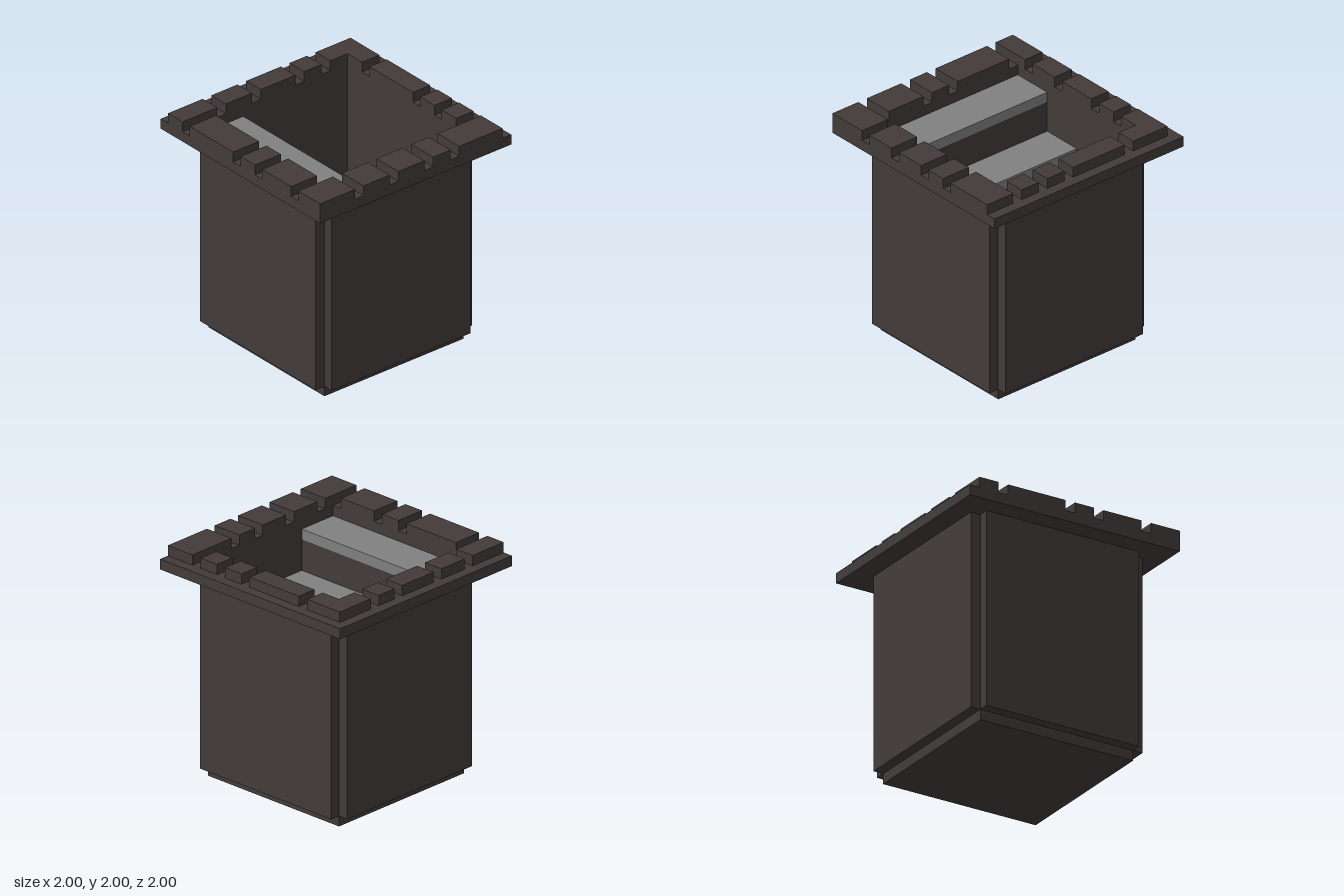
import * as THREE from 'three';

const U = 1 / 11; // one grid unit

export function createModel() {
  const stone = new THREE.MeshStandardMaterial({ color: 0x423b3a });
  stone.name = 'dark stone';
  const grey = new THREE.MeshStandardMaterial({ color: 0x808080 });
  grey.name = 'step grey';

  const model = new THREE.Group();
  model.name = 'stairwellTower';

  // Box from min/max corners given in grid units
  function box(name, mat, [x0, x1], [y0, y1], [z0, z1], parent = model) {
    const geo = new THREE.BoxGeometry((x1 - x0) * U, (y1 - y0) * U, (z1 - z0) * U);
    const mesh = new THREE.Mesh(geo, mat);
    mesh.position.set((x0 + x1) / 2 * U, (y0 + y1) / 2 * U, (z0 + z1) / 2 * U);
    mesh.name = name;
    parent.add(mesh);
  }

  // Floor and the four wall plates, leaving open notches at the corners
  box('floor', stone, [-8, 8], [0, 1], [-8, 8]);
  box('frontWall', stone, [-8, 8], [1, 20], [8, 9]);
  box('backWall', stone, [-8, 8], [1, 20], [-9, -8]);
  box('leftWall', stone, [8, 9], [1, 20], [-8, 8]);
  box('rightWall', stone, [-9, -8], [1, 20], [-8, 8]);

  // Overhanging rim with a square opening
  const square = (r) => [[-r, -r], [r, -r], [r, r], [-r, r]].map(([x, y]) => new THREE.Vector2(x * U, y * U));
  const shape = new THREE.Shape(square(11));
  shape.holes.push(new THREE.Path(square(8).reverse()));
  const rimGeo = new THREE.ExtrudeGeometry(shape, { depth: U, bevelEnabled: false });
  rimGeo.rotateX(-Math.PI / 2);
  const rim = new THREE.Mesh(rimGeo, stone);
  rim.position.y = 20 * U;
  rim.name = 'rim';
  model.add(rim);

  // Uneven blocks on the rim; the left and back rows are set in from the edge
  const blocks = new THREE.Group();
  blocks.name = 'battlements';
  model.add(blocks);
  const top = [21, 22];
  for (const s of [[-11, -7], [-6, -3], [-2, 1], [2, 4], [5, 10]]) box('frontBlock', stone, s, top, [8, 11], blocks);
  for (const s of [[-11, -7], [-6, -3], [-2, 2], [3, 5], [6, 10]]) box('backBlock', stone, s, top, [-10, -8], blocks);
  for (const s of [[-8, -6], [-5, 1], [2, 4], [5, 7]]) box('leftBlock', stone, [8, 10], top, s, blocks);
  for (const s of [[-7, -1], [0, 2], [3, 7]]) box('rightBlock', stone, [-11, -8], top, s, blocks);

  // Stairs descending inside: grey treads on dark risers
  const stairs = new THREE.Group();
  stairs.name = 'stairs';
  model.add(stairs);
  for (let i = 0; i < 4; i++) {
    const x = [-8 + 4 * i, -4 + 4 * i];
    const y = 20 - 4 * i;
    box('riser', stone, x, [1, y - 1], [-8, 8], stairs);
    box('tread', grey, x, [y - 1, y], [-8, 8], stairs);
  }
  return model;
}
